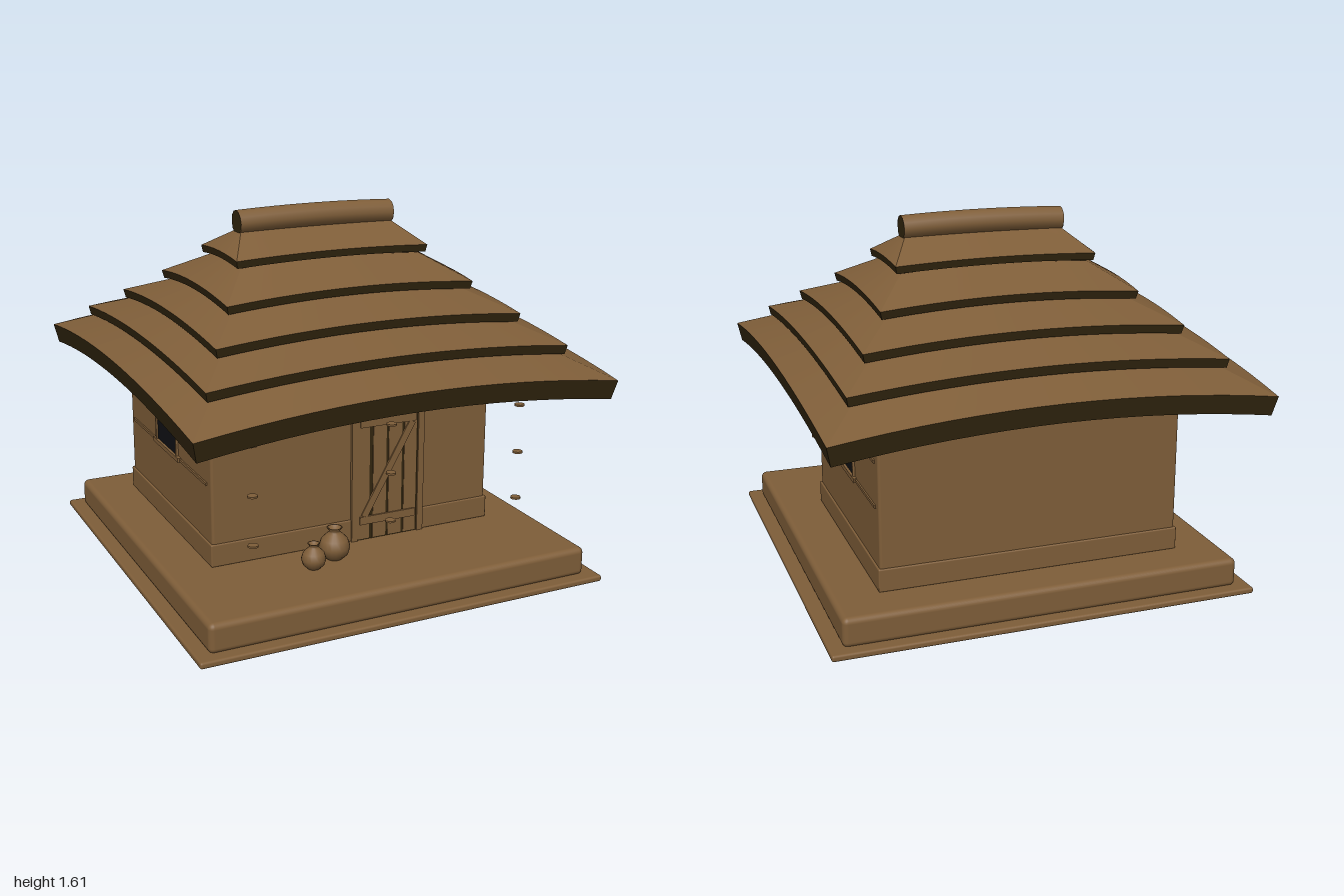
import * as THREE from 'three';
import { RoundedBoxGeometry } from 'three/addons/geometries/RoundedBoxGeometry.js';

export function createModel() {
  const root = new THREE.Group();
  root.name = 'hut';
  const brown = new THREE.MeshStandardMaterial({ color: 0x7f5e39, side: THREE.DoubleSide });
  brown.name = 'warm brown';
  const dark = new THREE.MeshStandardMaterial({ color: 0x32260f, side: THREE.DoubleSide });
  dark.name = 'dark straw edge';
  const black = new THREE.MeshStandardMaterial({ color: 0x101114 });
  black.name = 'window black';

  const add = (name, geo, mat, x = 0, y = 0, z = 0, parent = root) => {
    const m = new THREE.Mesh(geo, mat);
    m.name = name;
    m.position.set(x, y, z);
    parent.add(m);
    return m;
  };
  // box given by its extents
  const box = (name, mat, x0, x1, y0, y1, z0, z1, r = 0, parent = root) => {
    const s = [x1 - x0, y1 - y0, z1 - z0];
    const g = r ? new RoundedBoxGeometry(...s, 3, r) : new THREE.BoxGeometry(...s);
    return add(name, g, mat, (x0 + x1) / 2, (y0 + y1) / 2, (z0 + z1) / 2, parent);
  };

  // Platform and walls
  box('groundSlab', brown, -0.945, 0.945, 0, 0.028, -0.91, 0.98, 0.01);
  box('platform', brown, -0.885, 0.885, 0.02, 0.15, -0.855, 0.925, 0.025);
  box('walls', brown, -0.675, 0.675, 0.14, 0.88, -0.655, 0.418, 0.012);
  box('wallSkirt', brown, -0.683, 0.683, 0.15, 0.252, -0.663, 0.425, 0.006);
  box('frontRail', brown, -0.64, 0.64, 0.787, 0.802, 0.41, 0.428);

  // Side windows with rails and frames
  for (const s of [-1, 1]) {
    const side = new THREE.Group();
    side.name = s > 0 ? 'leftWindow' : 'rightWindow';
    root.add(side);
    const plate = (name, mat, y0, y1, z0, z1, out) =>
      box(name, mat, Math.min(s * 0.67, s * out), Math.max(s * 0.67, s * out), y0, y1, z0, z1, 0, side);
    plate('upperRail', brown, 0.702, 0.715, -0.61, 0.37, 0.682);
    plate('lowerRail', brown, 0.505, 0.518, -0.61, 0.37, 0.682);
    plate('windowOpening', black, 0.522, 0.698, -0.257, 0.005, 0.678);
    plate('windowLintel', brown, 0.696, 0.716, -0.295, 0.045, 0.69);
    plate('windowSill', brown, 0.502, 0.522, -0.295, 0.045, 0.69);
    plate('windowJamb', brown, 0.52, 0.7, 0.003, 0.014, 0.686);
    plate('windowJamb', brown, 0.52, 0.7, -0.266, -0.255, 0.686);
  }

  // Plank door with a Z brace
  const door = new THREE.Group();
  door.name = 'door';
  root.add(door);
  box('doorRecess', dark, 0, 0.32, 0.15, 0.79, 0.41, 0.4265, 0, door);
  for (const [a, b] of [[0.012, 0.068], [0.086, 0.151], [0.163, 0.229], [0.241, 0.302]])
    box('plank', brown, a, b, 0.155, 0.788, 0.415, 0.43, 0, door);
  for (const x of [-0.02, 0.31]) box('doorJamb', brown, x, x + 0.03, 0.15, 0.8, 0.41, 0.434, 0, door);
  box('doorLintel', brown, -0.035, 0.35, 0.798, 0.828, 0.41, 0.436, 0, door);
  for (const y of [0.225, 0.68]) box('doorRail', brown, 0.02, 0.296, y, y + 0.037, 0.42, 0.437, 0, door);
  const brace = add('doorBrace', new THREE.BoxGeometry(0.032, 0.48, 0.012), brown, 0.16, 0.47, 0.43, door);
  brace.rotation.z = -Math.atan2(0.24, 0.42);

  // Clay pots
  const potProfile = [[0, 0], [0.5, 0.03], [0.85, 0.35], [1, 0.85], [0.85, 1.35], [0.5, 1.7],
    [0.36, 1.82], [0.36, 1.95], [0.5, 2.13], [0.4, 2.13], [0.28, 1.9], [0, 1.85]];
  const pot = (r, h, x, z) => add('pot', new THREE.LatheGeometry(
    potProfile.map(([a, b]) => new THREE.Vector2(a * r, b * h / 2.13)), 20), brown, x, 0.15, z);
  pot(0.069, 0.145, -0.165, 0.555);
  pot(0.054, 0.115, -0.29, 0.61);

  // Small floating discs in front of the wall
  for (const x of [-0.625, 0, 0.625])
    for (const y of [0.37, 0.583, 0.797])
      add('smallDisc', new THREE.CylinderGeometry(0.022, 0.022, 0.008, 14), brown, x, y, 0.75);

  // Roof: stacked tiers whose edges sag towards the corners
  const N = 16;
  // point on one side of a rectangular ring, t from -1 to 1
  const ringPoint = (ring, side, t) => {
    const [hx, hz, y, sag, bulge] = ring;
    const half = side % 2 ? hz : hx;
    const out = (side % 2 ? hx : hz) + bulge * (1 - t * t);
    return new THREE.Vector3(t * half, y - sag * t * t, out)
      .applyAxisAngle(new THREE.Vector3(0, 1, 0), side * Math.PI / 2);
  };
  const strip = (name, mat, lower, upper, parent) => {
    const pos = [], idx = [];
    for (let s = 0; s < 4; s++) {
      const base = pos.length / 3;
      for (let i = 0; i <= N; i++) {
        const t = 2 * i / N - 1;
        pos.push(...ringPoint(lower, s, t).toArray(), ...ringPoint(upper, s, t).toArray());
        if (i < N) {
          const k = base + i * 2;
          idx.push(k, k + 2, k + 3, k, k + 3, k + 1);
        }
      }
    }
    const g = new THREE.BufferGeometry();
    g.setAttribute('position', new THREE.Float32BufferAttribute(pos, 3));
    g.setIndex(idx);
    g.computeVertexNormals();
    add(name, g, mat, 0, 0, 0, parent);
  };
  // half width, half depth, edge height, corner sag, bulge, thickness, inset of the lower edge
  const tiers = [
    [0.955, 0.99, 1.002, 0.074, 0.01, 0.085, 0.018],
    [0.828, 0.795, 1.1, 0.05, 0.008, 0.04, 0.008],
    [0.71, 0.602, 1.2, 0.04, 0.006, 0.038, 0.008],
    [0.583, 0.406, 1.307, 0.03, 0.005, 0.035, 0.008],
    [0.46, 0.212, 1.432, 0.014, 0.003, 0.032, 0.006],
  ];
  tiers.forEach(([hx, hz, y, sag, bulge, thick, inset], k) => {
    const tier = new THREE.Group();
    tier.name = 'roofTier' + (k + 1);
    root.add(tier);
    const next = tiers[k + 1];
    const top = [hx, hz, y, sag, bulge];
    const low = [hx - inset, hz - inset, y - thick, sag, bulge];
    const inner = next
      ? [next[0] - 0.03, next[1] - 0.03, next[2] - 0.037, next[3], 0]
      : [0.365, 0.03, 1.51, 0, 0];
    const under = [inner[0], inner[1], inner[2] - 0.02, inner[3], 0];
    strip('thatch', brown, top, inner, tier);
    strip('thatchEdge', dark, low, top, tier);
    strip('thatchUnderside', k ? brown : dark, under, low, tier);
  });

  // Ridge log, arched slightly, with dark ends
  const ridge = new THREE.QuadraticBezierCurve3(new THREE.Vector3(-0.373, 1.545, 0),
    new THREE.Vector3(0, 1.562, 0), new THREE.Vector3(0.373, 1.545, 0));
  add('ridgeLog', new THREE.TubeGeometry(ridge, 12, 0.055, 12), brown);
  for (const s of [-1, 1])
    add('ridgeEnd', new THREE.CircleGeometry(0.055, 12), dark, s * 0.373, 1.545, 0).rotation.y = s * Math.PI / 2;

  return root;
}
